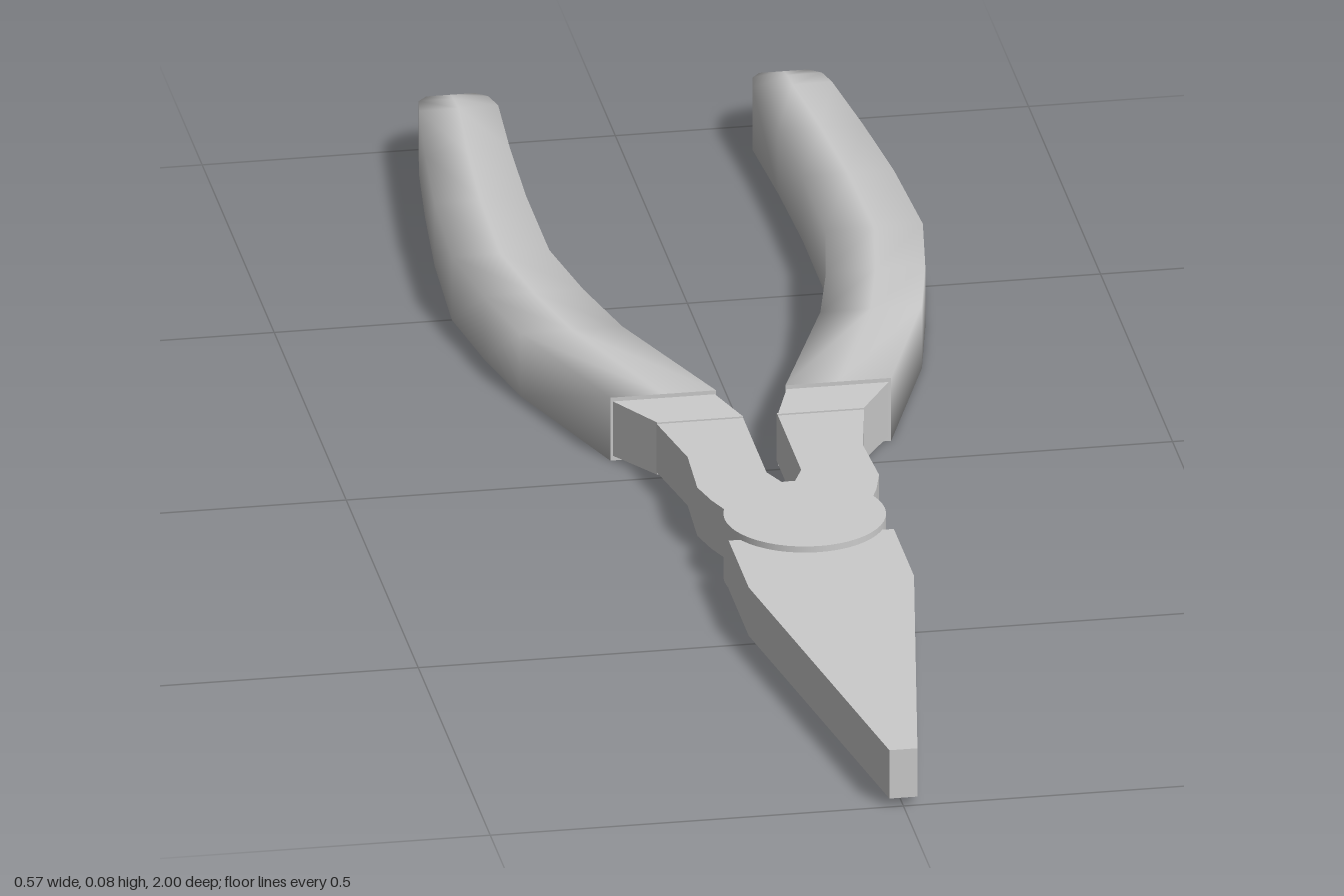
import * as THREE from 'three';

const SIDES = [[1, 'left'], [-1, 'right']];

// Flat plate from a top-down outline of [x, z] points, between two heights
function plate(points, y0, y1) {
  const shape = new THREE.Shape(points.map(([x, z]) => new THREE.Vector2(x, z)));
  const geo = new THREE.ExtrudeGeometry(shape, { depth: y1 - y0, bevelEnabled: false });
  return geo.rotateX(Math.PI / 2).translate(0, y1, 0);
}

// Skin over box sections [z, inner x, outer x, bottom y, top y] running toward -z
function loft(rows, side) {
  const n = 6, pos = [], idx = [];
  const addRing = ([z, a, b, y0, y1]) => {
    const m = (a + b) / 2;
    for (const [x, y] of [[a, y0], [m, y0], [b, y0], [b, y1], [m, y1], [a, y1]]) {
      pos.push(x * side, y, z);
    }
  };
  const tri = (a, b, c) => (side > 0 ? idx.push(a, b, c) : idx.push(a, c, b));
  rows.forEach(addRing);
  for (let i = 0; i < rows.length - 1; i++) {
    for (let j = 0; j < n; j++) {
      const k = (j + 1) % n;
      const a = i * n + j, b = i * n + k, c = a + n, d = b + n;
      tri(a, c, b);
      tri(b, c, d);
    }
  }
  // front cap has its own ring so its edge stays sharp; the tip cap is smooth
  const start = rows.length * n, end = start - n;
  addRing(rows[0]);
  for (let k = 1; k < n - 1; k++) {
    tri(start, start + k, start + k + 1);
    tri(end, end + k + 1, end + k);
  }
  const geo = new THREE.BufferGeometry();
  geo.setAttribute('position', new THREE.Float32BufferAttribute(pos, 3));
  geo.setIndex(idx);
  geo.computeVertexNormals();
  return geo;
}

export function createModel() {
  const group = new THREE.Group();
  const smooth = new THREE.MeshStandardMaterial({ color: 0xcccccc });
  const flat = new THREE.MeshStandardMaterial({ color: 0xcccccc, flatShading: true });
  const add = (name, geo, mat) => {
    const mesh = new THREE.Mesh(geo, mat);
    mesh.name = name;
    group.add(mesh);
  };

  // Closed tapering jaws
  add('jaws', plate([[-0.1, 0.36], [0.1, 0.36], [0.1, 0.5], [0.017, 1],
    [-0.017, 1], [-0.1, 0.5]], 0.011, 0.074), flat);

  // Round pivot
  add('pivot', new THREE.CylinderGeometry(0.097, 0.097, 0.082, 48)
    .translate(0, 0.041, 0.315), smooth);

  for (const [s, label] of SIDES) {
    // Metal arm from pivot to collar
    const arm = [[0, 0.3], [0, 0.22], [0.021, 0.17], [0.021, 0], [0.127, 0],
      [0.106, 0.11], [0.11, 0.2], [0.1, 0.24], [0.085, 0.28], [0.05, 0.3]];
    add(label + 'Arm', plate(arm.map(([x, z]) => [x * s, z]), 0.011, 0.074), flat);

    // Collar where the arm enters the grip
    add(label + 'Collar', loft([
      [0.008, 0.021, 0.125, 0.008, 0.076],
      [-0.062, 0.044, 0.168, 0.006, 0.077],
    ], s), flat);

    // Curved grip with a tapered, rounded tip
    add(label + 'Grip', loft([
      [-0.06, 0.042, 0.17, 0, 0.082],
      [-0.265, 0.12, 0.243, 0, 0.082],
      [-0.38, 0.147, 0.267, 0, 0.082],
      [-0.5, 0.167, 0.285, 0, 0.082],
      [-0.66, 0.167, 0.278, 0, 0.082],
      [-0.8, 0.162, 0.265, 0, 0.082],
      [-0.93, 0.154, 0.25, 0, 0.082],
      [-0.965, 0.16, 0.244, 0.003, 0.079],
      [-0.988, 0.172, 0.231, 0.008, 0.074],
      [-1, 0.19, 0.213, 0.014, 0.068],
    ], s), smooth);
  }
  return group;
}
